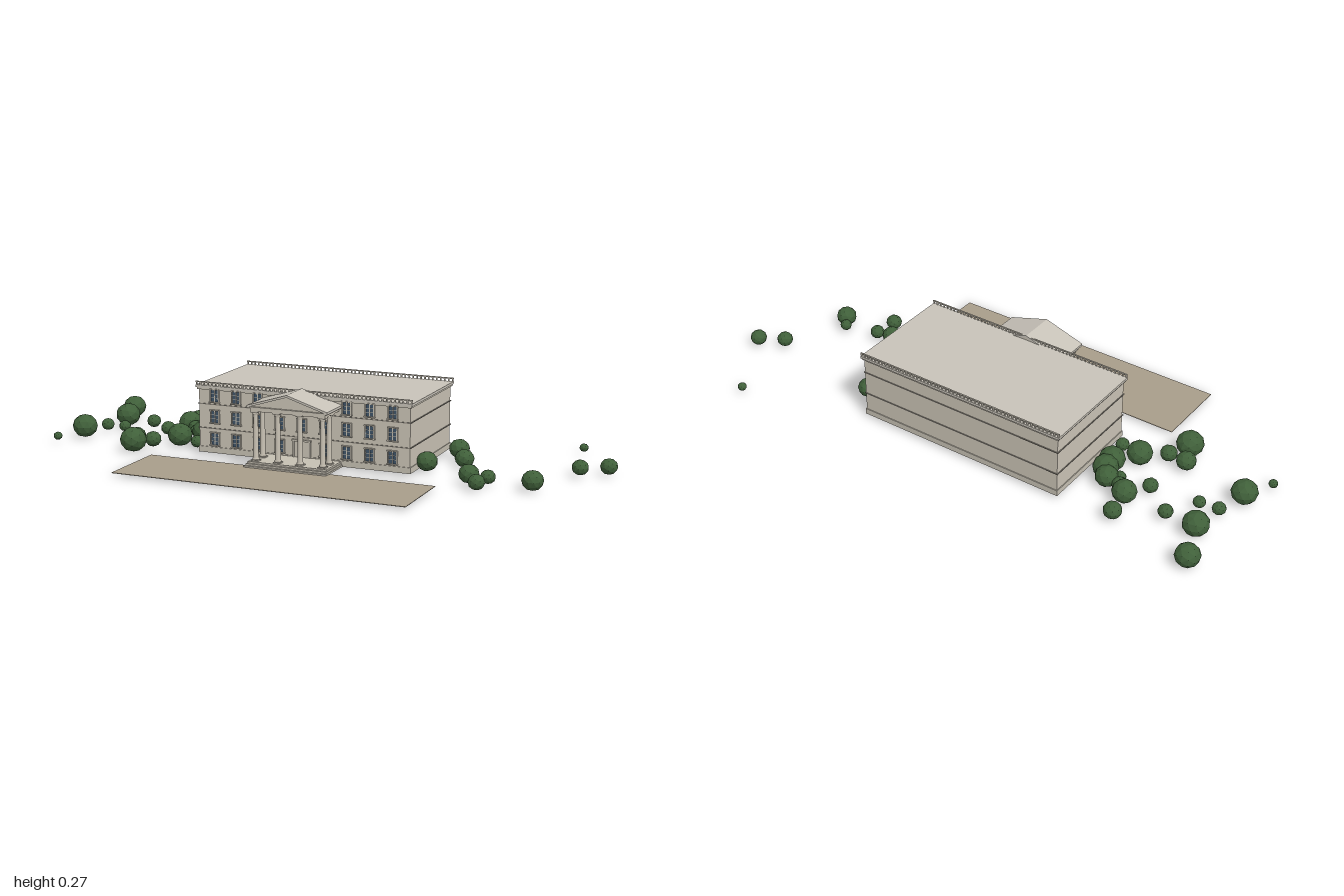
import * as THREE from 'three';

const mat = (name, color) => {
  const m = new THREE.MeshStandardMaterial({ color });
  m.name = name;
  return m;
};

export function createModel() {
  const stone = mat('stone', 0xcbc4b6);
  const trim = mat('trim stone', 0xc6c0b3);
  const course = mat('course grey', 0x8a857c);
  const roofMat = mat('roof', 0xc8c3b9);
  const glass = mat('glass', 0x3f5468);
  const paving = mat('paving', 0xa89d8a);
  const leaf = mat('leaf', 0x40603a);
  leaf.flatShading = true;

  const root = new THREE.Group();
  root.name = 'columnedHall';
  const group = (name, parent = root) => {
    const g = new THREE.Group();
    g.name = name;
    parent.add(g);
    return g;
  };
  // Box given by its extents on each axis
  const box = (name, parent, m, x0, x1, y0, y1, z0, z1) => {
    const mesh = new THREE.Mesh(new THREE.BoxGeometry(x1 - x0, y1 - y0, z1 - z0), m);
    mesh.position.set((x0 + x1) / 2, (y0 + y1) / 2, (z0 + z1) / 2);
    mesh.name = name;
    parent.add(mesh);
    return mesh;
  };

  // Everything built is symmetric about this x
  const hall = group('hall');
  hall.position.x = -0.036;
  const ground = 0.012, front = 0.083, back = -0.313, half = 0.395;

  // Walls, plinth, string courses and cornice
  box('walls', hall, stone, -half, half, ground, 0.24, back, front);
  const ring = (name, m, y0, y1, out) =>
    box(name, hall, m, -half - out, half + out, y0, y1, back - out, front + out);
  ring('plinth', trim, ground, 0.033, 0.003);
  ring('lowerCourse', course, 0.098, 0.101, 0.003);
  ring('upperCourse', course, 0.184, 0.187, 0.003);
  ring('corniceLower', trim, 0.237, 0.244, 0.005);
  ring('corniceUpper', roofMat, 0.244, 0.253, 0.009);

  // Balustrades along the front and back eaves
  const balusterGeo = new THREE.BoxGeometry(0.005, 0.01, 0.003);
  for (const [name, z] of [['frontBalustrade', front + 0.006], ['backBalustrade', back - 0.006]]) {
    const b = group(name, hall);
    box('rail', b, trim, -half - 0.009, half + 0.009, 0.262, 0.266, z - 0.0025, z + 0.0025);
    for (let i = 0; i <= 54; i++) {
      const p = new THREE.Mesh(balusterGeo, trim);
      p.name = 'baluster';
      p.position.set(-half - 0.006 + i * (2 * half + 0.012) / 54, 0.258, z);
      b.add(p);
    }
  }

  // Windows: glass plate, surround, mullion and glazing bars
  const windows = group('windows', hall);
  const addWindow = (x, y) => {
    const w = group('window', windows);
    w.position.set(x, y, front);
    const a = 0.016, h = 0.021;
    box('pane', w, glass, -a, a, -h, h, 0, 0.002);
    for (const s of [-1, 1]) {
      box('jamb', w, trim, s * a - 0.002, s * a + 0.002, -h, h, 0, 0.006);
      box('glazingBar', w, trim, -a, a, s * 0.007 - 0.0008, s * 0.007 + 0.0008, 0, 0.0035);
    }
    box('mullion', w, trim, -0.0015, 0.0015, -h, h, 0, 0.004);
    box('sill', w, trim, -a - 0.004, a + 0.004, -h - 0.004, -h, 0, 0.009);
    box('lintel', w, trim, -a - 0.003, a + 0.003, h, h + 0.004, 0, 0.008);
  };
  for (let i = -4; i <= 4; i++)
    for (const y of [0.062, 0.142, 0.217])
      if (i !== 0 || y > 0.1) addWindow(i * 0.0833, y);

  // Entrance
  const door = group('door', hall);
  box('doorPanel', door, stone, -0.028, 0.028, 0.03, 0.086, front, front + 0.004);
  for (const s of [-1, 1])
    box('doorJamb', door, trim, s * 0.03 - 0.003, s * 0.03 + 0.003, 0.03, 0.086, front, front + 0.008);
  box('doorHead', door, trim, -0.036, 0.036, 0.086, 0.092, front, front + 0.01);
  box('doorSeam', door, course, -0.0008, 0.0008, 0.03, 0.086, front + 0.004, front + 0.005);

  // Portico floor and steps
  const portico = group('portico', hall);
  for (let i = 0; i < 3; i++)
    box('step', portico, trim, -0.152 + i * 0.003, 0.152 - i * 0.003,
      ground + i * 0.006, ground + (i + 1) * 0.006, front, 0.228 - i * 0.009);

  // Columns: square base, tapered shaft, flared capital
  const profile = [[0, 0], [0.012, 0], [0.012, 0.005], [0.0095, 0.008], [0.0095, 0.05], [0.008, 0.155],
    [0.0095, 0.158], [0.012, 0.166], [0, 0.166]].map(p => new THREE.Vector2(...p));
  const shaftGeo = new THREE.LatheGeometry(profile, 16);
  const addColumn = (x, z) => {
    const c = group('column', portico);
    c.position.set(x, 0.03, z);
    box('columnBase', c, trim, -0.013, 0.013, 0, 0.004, -0.013, 0.013);
    const shaft = new THREE.Mesh(shaftGeo, stone);
    shaft.name = 'columnShaft';
    shaft.position.y = 0.004;
    c.add(shaft);
    box('columnCapital', c, trim, -0.013, 0.013, 0.17, 0.175, -0.013, 0.013);
  };
  for (const x of [-0.124, -0.0413, 0.0413, 0.124]) addColumn(x, 0.19);
  for (const x of [-0.124, 0.124]) addColumn(x, 0.136);

  // Entablature and pediment
  box('entablature', portico, stone, -0.138, 0.138, 0.204, 0.215, front, 0.204);
  box('entablatureCap', portico, trim, -0.146, 0.146, 0.215, 0.22, front, 0.208);
  const extrude = (name, m, pts, z0, z1) => {
    const shape = new THREE.Shape(pts.map(p => new THREE.Vector2(...p)));
    const mesh = new THREE.Mesh(
      new THREE.ExtrudeGeometry(shape, { depth: z1 - z0, bevelEnabled: false }), m);
    mesh.name = name;
    mesh.position.z = z0;
    portico.add(mesh);
  };
  extrude('tympanum', stone, [[-0.138, 0.22], [0.138, 0.22], [0, 0.264]], front, 0.2);
  extrude('porticoRoof', roofMat, [[-0.148, 0.217], [0, 0.263], [0.148, 0.217],
    [0.148, 0.225], [0, 0.271], [-0.148, 0.225]], 0.082, 0.21);

  // Forecourt
  box('forecourt', root, paving, -0.562, 0.492, 0.011, 0.013, 0.2, 0.472);

  // Shrubs: x, z, radius
  const shrubs = group('shrubs');
  const spots = [
    [-0.944, -0.356, 0.043], [-0.89, -0.211, 0.046], [-0.773, -0.2, 0.026], [-0.939, 0.019, 0.046],
    [-0.906, -0.088, 0.024], [-0.837, -0.094, 0.022], [-0.986, 0.131, 0.016], [-0.634, -0.297, 0.032],
    [-0.618, -0.2, 0.043], [-0.666, -0.115, 0.027], [-0.698, 0.061, 0.035], [-0.666, 0.142, 0.048],
    [-0.628, 0.067, 0.03], [-0.553, 0.003, 0.045], [-0.527, -0.163, 0.04], [-0.5, -0.126, 0.045],
    [-0.495, -0.078, 0.046], [-0.473, 0.024, 0.024], [-0.559, -0.131, 0.022], [-0.58, -0.168, 0.027],
    [0.81, -0.457, 0.016], [0.43, -0.217, 0.037], [0.489, -0.099, 0.034], [0.388, -0.003, 0.037],
    [0.57, 0.094, 0.035], [0.634, 0.088, 0.026], [0.623, 0.174, 0.029], [0.789, 0.099, 0.037],
    [0.762, 0.061, 0.021], [0.88, -0.147, 0.029], [0.966, -0.195, 0.03]];
  const shrubGeo = new THREE.IcosahedronGeometry(1, 1);
  spots.forEach(([x, z, r], i) => {
    const s = new THREE.Mesh(shrubGeo, leaf);
    s.name = 'shrub';
    s.position.set(x, 0.016 + 0.62 * r, z);
    s.scale.set(r, r * 0.93, r);
    s.rotation.y = i * 1.7;
    shrubs.add(s);
  });

  return root;
}
